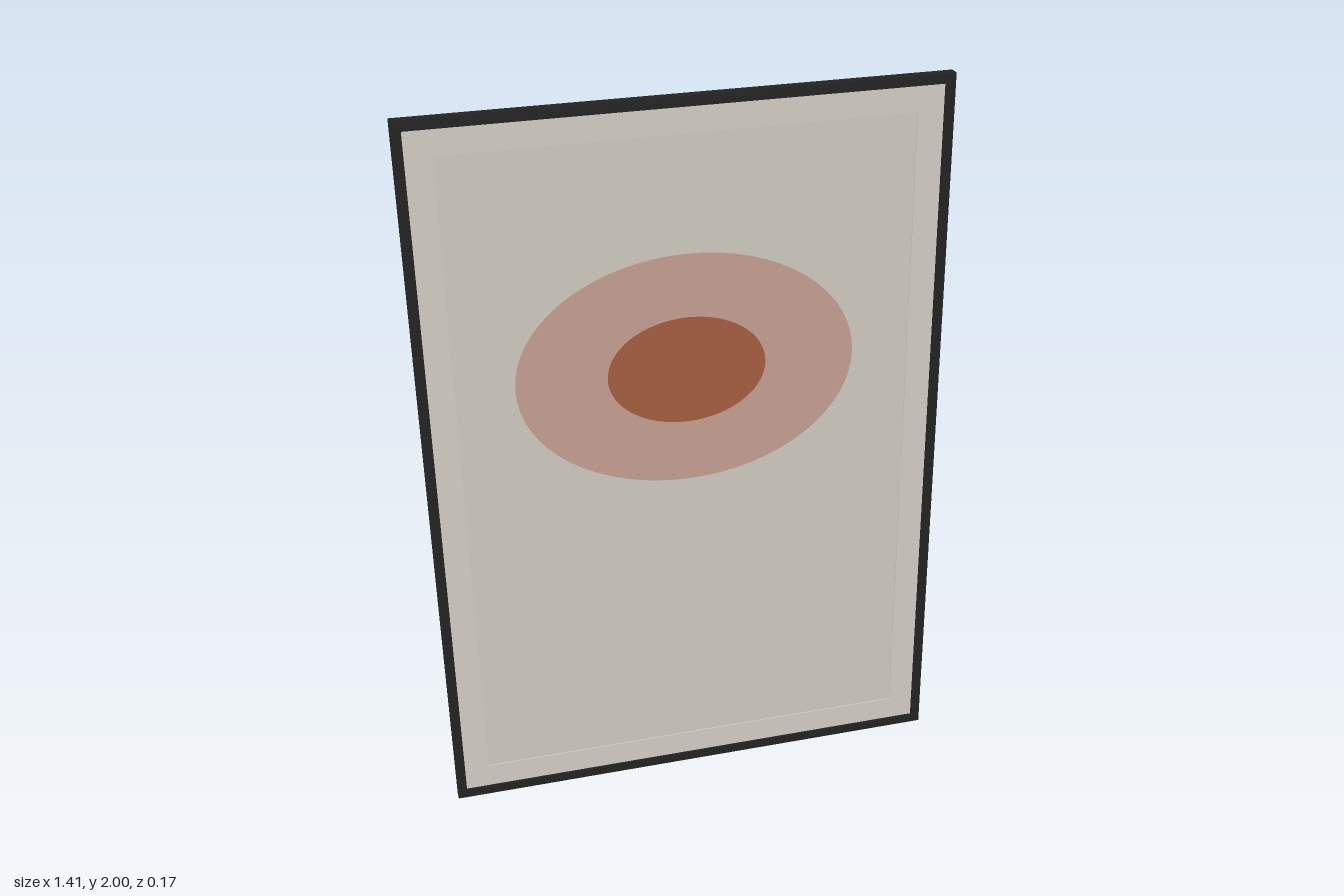
import * as THREE from 'three';

const W = 1.41, H = 2.003, DEPTH = 0.03, RAIL = 0.026, MARGIN = 0.095, TILT = 4 * Math.PI / 180;

const material = (name, color, side = THREE.FrontSide) => {
  const m = new THREE.MeshStandardMaterial({ color, side });
  m.name = name;
  return m;
};

// Rectangular ring, centred on the origin, front face at z = front
function ringGeometry(w, h, border, front, depth) {
  const rect = (Type, a, b) => new Type([[-a, -b], [a, -b], [a, b], [-a, b]].map(p => new THREE.Vector2(...p)));
  const shape = rect(THREE.Shape, w / 2, h / 2);
  shape.holes.push(rect(THREE.Path, w / 2 - border, h / 2 - border));
  return new THREE.ExtrudeGeometry(shape, { depth, bevelEnabled: false }).translate(0, 0, front - depth);
}

// Flat ellipse facing the front
function ellipseGeometry(rx, ry) {
  return new THREE.CircleGeometry(1, 64).scale(rx, ry, 1);
}

export function createModel() {
  const black = material('black frame', 0x232323);
  const matBoard = material('mat board', 0xd3cec5);
  const paper = material('paper', 0xd0cbc1);
  const blush = material('blush', 0xc69f93);
  const rust = material('rust', 0xa65e41);
  const brown = material('brown backing', 0x5f472a);
  const steel = material('steel', 0x8c8a84);
  const darkWire = material('dark wire', 0x3a3a3a);

  const leaning = new THREE.Group();
  leaning.name = 'leaningPicture';
  const add = (name, geometry, mat, x = 0, y = 0, z = 0, parent = leaning) => {
    const mesh = new THREE.Mesh(geometry, mat);
    mesh.name = name;
    mesh.position.set(x, y, z);
    parent.add(mesh);
    return mesh;
  };

  // Frame, mat with window, paper and backing
  add('frame', ringGeometry(W, H, RAIL, DEPTH / 2, DEPTH), black);
  const innerW = W - 2 * RAIL, innerH = H - 2 * RAIL;
  add('mat', ringGeometry(innerW, innerH, MARGIN - RAIL, 0.009, 0.004), matBoard);
  add('paper', new THREE.BoxGeometry(innerW, innerH, 0.004), paper, 0, 0, 0.004);
  add('backing', new THREE.BoxGeometry(innerW, innerH, 0.009), brown, 0, 0, -0.0035);

  // Painted ellipses
  add('outerEllipse', ellipseGeometry(0.455, 0.324), blush, 0, 0.27, 0.0072);
  add('innerEllipse', ellipseGeometry(0.213, 0.15), rust, 0, 0.27, 0.0084);

  // Hanging wire with a ring and plate at each end
  const back = -0.008;
  const wirePath = new THREE.QuadraticBezierCurve3(
    new THREE.Vector3(-0.52, 0.59, back - 0.003),
    new THREE.Vector3(0, 0.42, back - 0.003),
    new THREE.Vector3(0.52, 0.59, back - 0.003));
  add('hangingWire', new THREE.TubeGeometry(wirePath, 40, 0.003, 6), darkWire);
  for (const side of [-1, 1]) {
    const hanger = new THREE.Group();
    hanger.name = side > 0 ? 'leftHanger' : 'rightHanger';
    hanger.position.set(side * 0.53, 0.593, back - 0.002);
    leaning.add(hanger);
    add('plate', new THREE.BoxGeometry(0.028, 0.016, 0.003), black, side * 0.012, 0.003, 0, hanger);
    add('ring', new THREE.TorusGeometry(0.011, 0.0025, 6, 16), black, -side * 0.006, 0, -0.001, hanger);
    add('screw', new THREE.CylinderGeometry(0.004, 0.004, 0.002, 10).rotateX(Math.PI / 2),
      steel, side * 0.014, 0.003, -0.002, hanger);
  }

  // Small retaining points, two on each rail
  for (const a of [-1, 1]) {
    for (const b of [-1, 1]) {
      add('railPoint', new THREE.BoxGeometry(0.008, 0.024, 0.002), steel,
        a * 0.355, b * (innerH / 2 - 0.012), back - 0.001);
      add('stilePoint', new THREE.BoxGeometry(0.024, 0.008, 0.002), steel,
        a * (innerW / 2 - 0.012), b * 0.6, back - 0.001);
    }
  }

  // Lean back with the lower back edge on the ground
  leaning.rotation.x = -TILT;
  leaning.position.y = (H * Math.cos(TILT) + DEPTH * Math.sin(TILT)) / 2;

  const model = new THREE.Group();
  model.name = 'framedPicture';
  model.add(leaning);
  return model;
}
